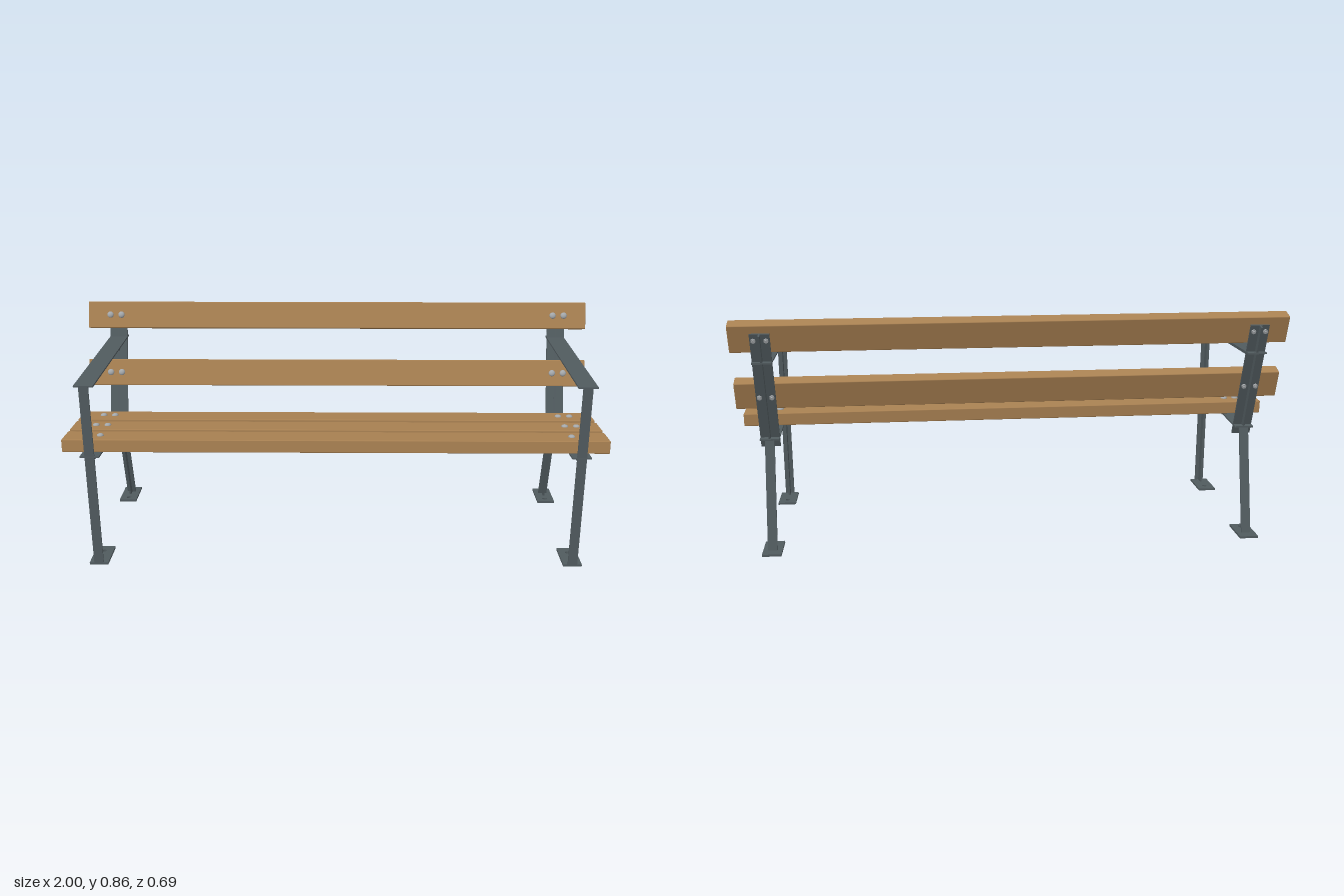
import * as THREE from 'three';
import { RoundedBoxGeometry } from 'three/addons/geometries/RoundedBoxGeometry.js';

const mat = (name, color) => {
  const m = new THREE.MeshStandardMaterial({ color });
  m.name = name;
  return m;
};

export function createModel() {
  const steel = mat('dark steel', 0x515b5f);
  const wood = mat('wood', 0xa98152);
  const zinc = mat('bolt metal', 0xa4a8ab);
  const model = new THREE.Group();
  model.name = 'bench';

  const add = (parent, name, geometry, material) => {
    const mesh = new THREE.Mesh(geometry, material);
    mesh.name = name;
    parent.add(mesh);
    return mesh;
  };
  const FRAME_X = 0.89, T = 0.006;

  // Closed path through [z, y] points, with rounded corners of radius r
  const roundedPath = (pts, r) => {
    const path = new THREE.Path();
    const v = pts.map(p => new THREE.Vector2(...p));
    v.forEach((p, i) => {
      const toward = q => p.clone().add(q.clone().sub(p).setLength(r));
      const a = toward(v[(i + v.length - 1) % v.length]);
      const b = toward(v[(i + 1) % v.length]);
      if (i) path.lineTo(a.x, a.y); else path.moveTo(a.x, a.y);
      path.quadraticCurveTo(p.x, p.y, b.x, b.y);
    });
    path.closePath();
    return path;
  };

  // Side profile in [z, y], extruded across x
  const extrudeAcross = (shape, thickness) =>
    new THREE.ExtrudeGeometry(shape, { depth: thickness, bevelEnabled: false, curveSegments: 5 })
      .translate(0, 0, -thickness / 2).rotateY(-Math.PI / 2);

  // Thin flange whose outer face runs from a to b, both [z, y]
  const flange = (parent, name, a, b, width) => {
    const dz = b[0] - a[0], dy = b[1] - a[1];
    const geometry = new THREE.BoxGeometry(width, Math.hypot(dz, dy), T).translate(0, 0, -T / 2);
    const mesh = add(parent, name, geometry, steel);
    mesh.position.set(0, (a[1] + b[1]) / 2, (a[0] + b[0]) / 2);
    mesh.rotation.x = Math.atan2(dz, dy);
  };

  // Foot plate with an anchor hole
  const foot = (parent, name, z0, z1, holeZ) => {
    const shape = new THREE.Shape([[-0.035, z0], [0.035, z0], [0.035, z1], [-0.035, z1]]
      .map(p => new THREE.Vector2(...p)));
    shape.holes.push(new THREE.Path().absarc(0, holeZ, 0.009, 0, Math.PI * 2, true));
    const geometry = new THREE.ExtrudeGeometry(shape, { depth: 0.008, bevelEnabled: false, curveSegments: 8 });
    geometry.rotateX(Math.PI / 2).translate(0, 0.008, 0);
    add(parent, name, geometry, steel);
  };

  // Two end frames of welded T-bars
  for (const side of [1, -1]) {
    const frame = new THREE.Group();
    frame.name = side > 0 ? 'leftFrame' : 'rightFrame';
    frame.position.x = side * FRAME_X;
    model.add(frame);

    const outline = new THREE.Shape([
      [0.345, 0.004], [0.345, 0.71], [-0.281, 0.71], [-0.316, 0.815], [-0.341, 0.807],
      [-0.207, 0.4], [-0.305, 0.004], [-0.269, 0.004], [-0.176, 0.37],
      [0.298, 0.403], [0.308, 0.393], [0.308, 0.004],
    ].map(p => new THREE.Vector2(...p)));
    outline.holes.push(roundedPath(
      [[0.308, 0.68], [0.308, 0.437], [-0.182, 0.407], [-0.271, 0.68]], 0.012));
    add(frame, 'frameWeb', extrudeAcross(outline, T), steel);

    flange(frame, 'frontLegFlange', [0.345, 0], [0.345, 0.71], 0.035);
    flange(frame, 'armrest', [0.345, 0.71], [-0.31, 0.71], 0.07);
    flange(frame, 'seatRail', [0.345, 0.441], [-0.212, 0.405], 0.07);
    flange(frame, 'backrestUpright', [-0.17, 0.37], [-0.316, 0.815], 0.07);
    flange(frame, 'rearLegFlange', [-0.207, 0.4], [-0.305, 0.004], 0.035);
    foot(frame, 'frontFoot', 0.213, 0.345, 0.25);
    foot(frame, 'rearFoot', -0.343, -0.212, -0.238);
  }

  // Slats, each bolted twice to both frames; local y points out of the slat face
  const slatGeometry = new RoundedBoxGeometry(2, 0.048, 0.105, 2, 0.003);
  const domeGeometry = new THREE.SphereGeometry(0.013, 14, 5, 0, Math.PI * 2, 0, Math.PI / 2).scale(1, 0.65, 1);
  const nutGeometry = new THREE.CylinderGeometry(0.009, 0.009, 0.008, 6);
  const shankGeometry = new THREE.CylinderGeometry(0.005, 0.005, 0.016, 10);
  const slat = (name, z, y, tilt) => {
    const group = new THREE.Group();
    group.name = name;
    group.position.set(0, y, z);
    group.rotation.x = tilt;
    model.add(group);
    add(group, 'plank', slatGeometry, wood);
    for (const side of [1, -1]) for (const dx of [-0.022, 0.022]) {
      const x = side * FRAME_X + dx;
      add(group, 'boltHead', domeGeometry, zinc).position.set(x, 0.024, 0);
      add(group, 'nut', nutGeometry, zinc).position.set(x, -0.035, 0);
      add(group, 'boltEnd', shankGeometry, zinc).position.set(x, -0.036, 0);
    }
  };
  [0.248, 0.12, -0.011].forEach((z, i) =>
    slat('seatSlat' + (i + 1), z, 0.4435 + 0.066 * z, -0.066));
  slat('lowerBackSlat', -0.212, 0.58, Math.PI / 2 - 0.318);
  slat('upperBackSlat', -0.283, 0.8, Math.PI / 2 - 0.318);

  return model;
}
